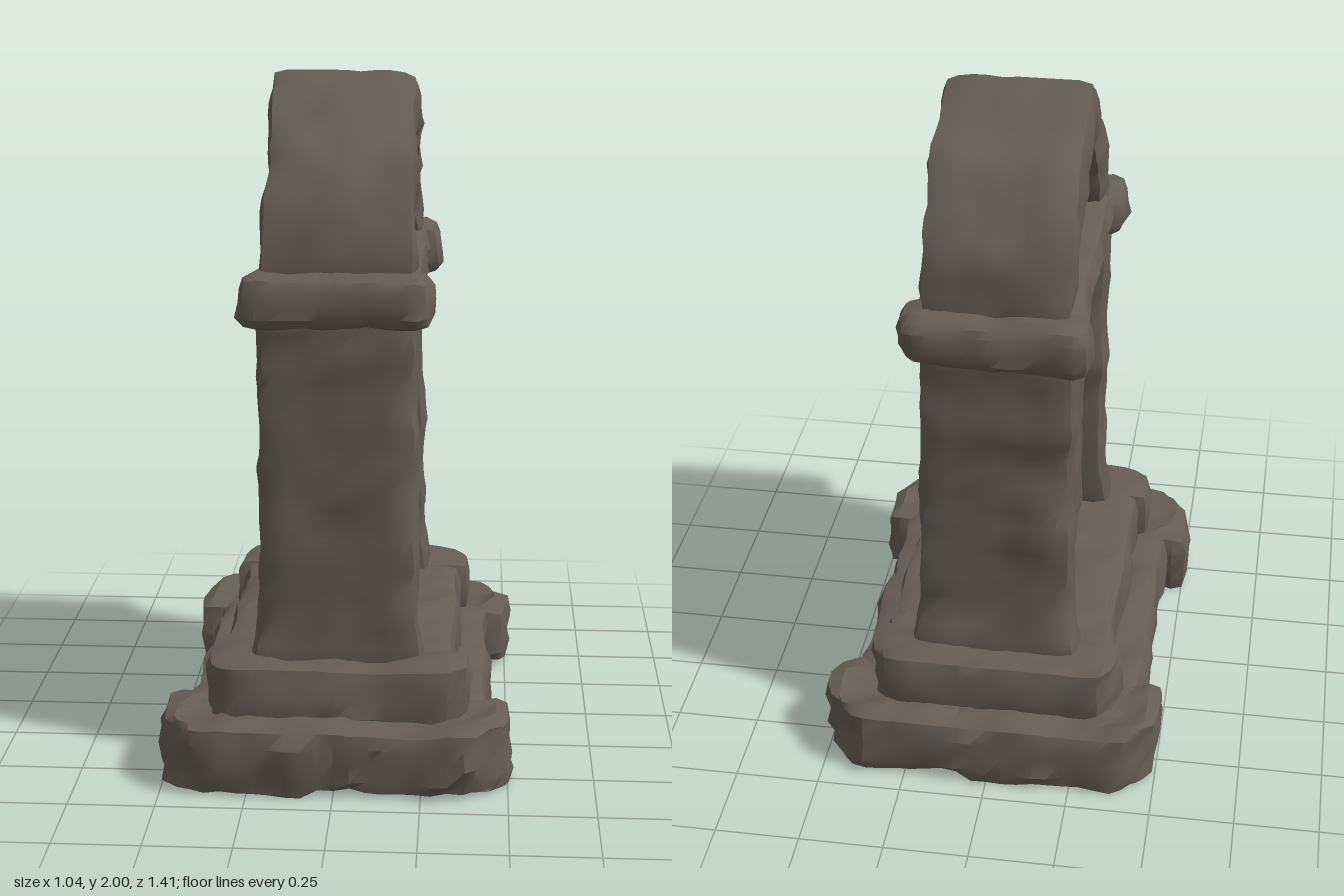
import * as THREE from 'three';
import { mergeVertices, toCreasedNormals } from 'three/addons/utils/BufferGeometryUtils.js';

const stone = new THREE.MeshStandardMaterial({ color: 0x665c54 });
stone.name = 'weathered stone';

// Seeded smooth noise, about -1..1
function hash(x, y, z) {
  const s = Math.sin(x * 127.1 + y * 311.7 + z * 74.7) * 43758.5453;
  return (s - Math.floor(s)) * 2 - 1;
}
function noise(x, y, z) {
  const [i, j, k] = [x, y, z].map(Math.floor);
  const [u, v, w] = [x - i, y - j, z - k].map((t) => t * t * (3 - 2 * t));
  let sum = 0;
  for (let a = 0; a < 2; a++) for (let b = 0; b < 2; b++) for (let c = 0; c < 2; c++) {
    sum += hash(i + a, j + b, k + c) * (a ? u : 1 - u) * (b ? v : 1 - v) * (c ? w : 1 - w);
  }
  return sum;
}

// Worn block: rounded box, optional warp in place, then a rough surface
function rock(name, size, pos, { radius = 0.04, rough = 0.016, warp = null } = {}) {
  const even = (s) => 2 * Math.max(1, Math.round(s / 0.09));
  let geo = new THREE.BoxGeometry(...size, ...size.map(even));
  geo.deleteAttribute('normal');
  geo.deleteAttribute('uv');
  geo = mergeVertices(geo);
  const half = new THREE.Vector3(...size).multiplyScalar(0.5);
  const inner = half.clone().subScalar(radius);
  const p = geo.attributes.position;
  const v = new THREE.Vector3();
  const core = new THREE.Vector3();
  for (let i = 0; i < p.count; i++) {
    v.fromBufferAttribute(p, i);
    core.copy(v).clamp(inner.clone().negate(), inner);
    v.sub(core).setLength(radius).add(core);
    v.x += pos[0];
    v.y += pos[1];
    v.z += pos[2];
    if (warp) warp(v);
    p.setXYZ(i, v.x, v.y, v.z);
  }
  geo.computeVertexNormals();
  const n = geo.attributes.normal;
  for (let i = 0; i < p.count; i++) {
    v.fromBufferAttribute(p, i);
    const d = rough * (noise(v.x * 8, v.y * 8, v.z * 8) + 0.7 * noise(v.x * 19 + 5, v.y * 19, v.z * 19));
    v.addScaledVector(core.fromBufferAttribute(n, i), d);
    p.setXYZ(i, v.x, THREE.MathUtils.clamp(v.y, 0, 2), v.z);
  }
  geo.deleteAttribute('normal');
  const mesh = new THREE.Mesh(toCreasedNormals(geo, 0.65), stone);
  mesh.name = name;
  return mesh;
}

// Cuts the vertical corners of a block at |x| + |z| = limit
const cutCorners = (limit) => (v) => {
  const e = (Math.abs(v.x) + Math.abs(v.z) - limit) / 2;
  if (e > 0) {
    v.x -= Math.sign(v.x) * e;
    v.z -= Math.sign(v.z) * e;
  }
};

// Height and half-width along a pointed arch; t runs 0 (foot) to 1 (peak)
const curve = (points) => new THREE.CatmullRomCurve3(points.map(([z, y]) => new THREE.Vector3(0, y, z)));
const outerArch = curve([[0.45, 1.45], [0.42, 1.62], [0.33, 1.775], [0.18, 1.89], [0, 1.995]]);
const innerArch = curve([[0.31, 1.45], [0.25, 1.58], [0.17, 1.68], [0.09, 1.765], [0, 1.83]]);

export function createModel() {
  const model = new THREE.Group();
  model.name = 'gravestone';

  // Stepped base: long middle slabs with wider blocks at both ends
  model.add(
    rock('lowerBase', [0.88, 0.2, 1.2], [0, 0.1, 0], { rough: 0.02 }),
    rock('upperBase', [0.69, 0.2, 1.08], [0, 0.25, 0], { rough: 0.016 }),
  );
  for (const s of [1, -1]) {
    model.add(
      rock('lowerBaseEnd', [1.02, 0.205, 0.31], [0, 0.1, s * 0.525], { warp: cutCorners(1.06), rough: 0.02 }),
      rock('upperBaseEnd', [0.76, 0.2, 0.2], [0, 0.26, s * 0.485], { warp: cutCorners(0.89) }),
    );
  }

  // Shaft: recessed panel between two pillars that flare at the foot
  model.add(rock('panel', [0.33, 1.08, 0.76], [0, 0.86, 0], { rough: 0.008 }));
  for (const s of [1, -1]) {
    model.add(rock('pillar', [0.45, 1.1, 0.155], [0, 0.85, s * 0.402], {
      rough: 0.014,
      warp: (v) => {
        const flare = THREE.MathUtils.clamp((0.48 - v.y) / 0.14, 0, 1);
        v.x *= 1 + 0.12 * flare;
        v.z += s * 0.02 * flare;
      },
    }));
  }

  // Cornice band with heavier ends
  model.add(rock('cornice', [0.48, 0.125, 0.9], [0, 1.415, 0], { radius: 0.05, rough: 0.012 }));
  for (const s of [1, -1]) {
    model.add(rock('corniceEnd', [0.54, 0.155, 0.17], [0, 1.402, s * 0.435], { radius: 0.05, rough: 0.014 }));
  }

  // Pointed arch swept between the inner and outer curves
  const a = new THREE.Vector3();
  const b = new THREE.Vector3();
  model.add(rock('archFrame', [0.43, 0.16, 1.5], [0, 0, 0], {
    radius: 0.03,
    rough: 0.014,
    warp: (v) => {
      const t = 1 - Math.min(1, Math.abs(v.z) / 0.75);
      const side = Math.sign(v.z);
      innerArch.getPoint(t, a);
      outerArch.getPoint(t, b);
      a.lerp(b, v.y / 0.16 + 0.5);
      v.set(v.x, a.y, side * a.z);
    },
  }));

  // Recessed gable panel filling the arch
  model.add(rock('gablePanel', [0.25, 0.46, 0.76], [0, 1.66, 0], {
    radius: 0.02,
    rough: 0.008,
    warp: (v) => { v.z *= THREE.MathUtils.clamp((1.93 - v.y) / 0.5, 0.05, 1); },
  }));

  return model;
}
